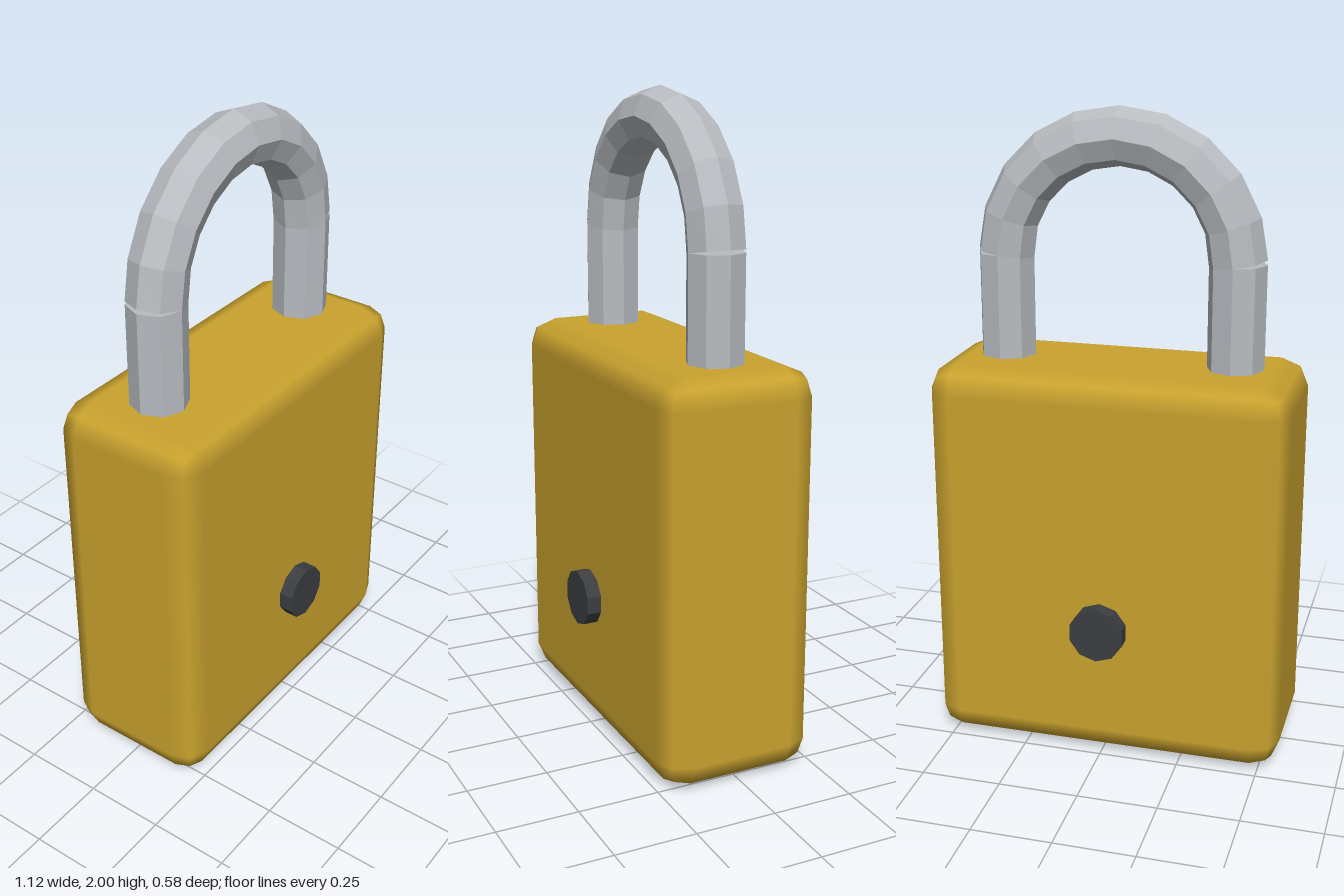
import * as THREE from 'three';
import { RoundedBoxGeometry } from 'three/addons/geometries/RoundedBoxGeometry.js';

const BODY = { w: 1.12, h: 1.235, d: 0.49, r: 0.085 };
const BAR = { r: 0.088, spread: 0.36, top: 1.555, sides: 8, bends: 10 };

export function createModel() {
  const group = new THREE.Group();
  const brass = new THREE.MeshStandardMaterial({ color: 0xc9a22e });
  const steel = new THREE.MeshStandardMaterial({ color: 0xb8bcc0, flatShading: true });
  const dark = new THREE.MeshStandardMaterial({ color: 0x3c3e42, flatShading: true });

  const add = (name, geometry, material, x, y, z) => {
    const mesh = new THREE.Mesh(geometry, material);
    mesh.name = name;
    mesh.position.set(x, y, z);
    group.add(mesh);
    return mesh;
  };

  // Body: box with one coarse 45-degree step round every edge
  add('body', new RoundedBoxGeometry(BODY.w, BODY.h, BODY.d, 1, BODY.r), brass, 0, BODY.h / 2, 0);

  // Shackle legs, sunk a little into the body
  const foot = BODY.h - 0.1;
  const legLength = BAR.top - foot;
  for (const [name, side] of [['leftShackleLeg', 1], ['rightShackleLeg', -1]]) {
    const leg = new THREE.CylinderGeometry(BAR.r, BAR.r, legLength, BAR.sides);
    add(name, leg, steel, side * BAR.spread, foot + legLength / 2, 0);
  }

  // Shackle arch: half ring whose end faces tilt, leaving a thin outer gap above each leg
  const arch = new THREE.TorusGeometry(BAR.spread, BAR.r, BAR.sides, BAR.bends, Math.PI);
  const p = arch.attributes.position;
  const tilt = Math.tan(Math.PI / BAR.bends / 2);
  for (let i = 0; i < p.count; i++) {
    if (Math.abs(p.getY(i)) < 1e-4) p.setY(i, (Math.abs(p.getX(i)) - BAR.spread) * tilt);
  }
  arch.computeVertexNormals();
  add('shackleArch', arch, steel, 0, BAR.top, 0);

  // Lock cylinder: runs through the body and stands out front and back
  const barrel = new THREE.CylinderGeometry(0.087, 0.087, 0.58, 10).rotateX(Math.PI / 2);
  add('lockCylinder', barrel, dark, 0, 0.435, 0);

  return group;
}
